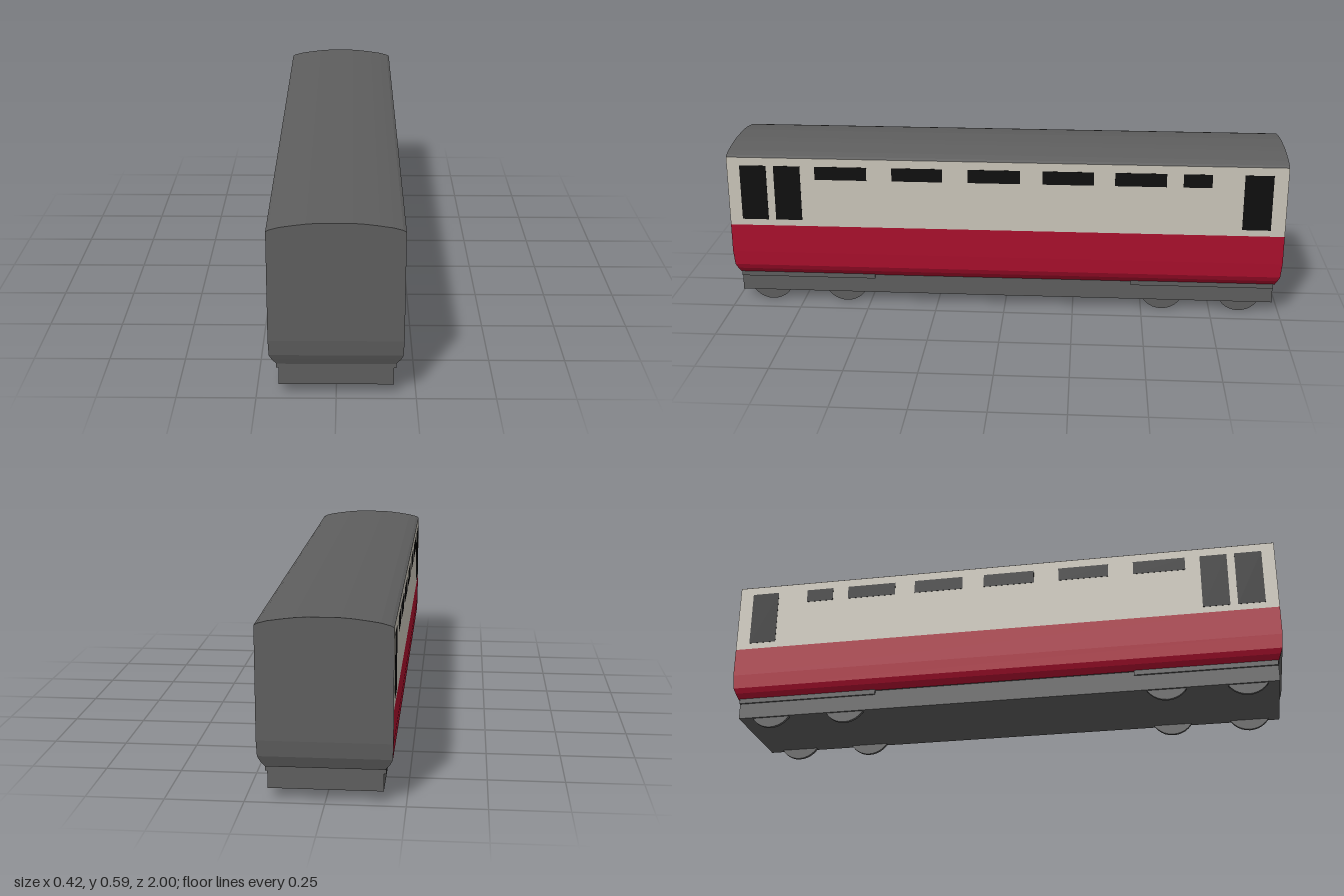
import * as THREE from 'three';

const material = (name, color) => {
  const m = new THREE.MeshStandardMaterial({ color });
  m.name = name;
  return m;
};

export function createModel() {
  const grey = material('dark grey', 0x5e5e5e);
  const cream = material('cream', 0xc9c4b8);
  const red = material('crimson', 0xa90e2c);
  const black = material('window black', 0x0d0d0d);

  const model = new THREE.Group();
  model.name = 'railwayCoach';

  const add = (name, geometry, mat, x = 0, y = 0, z = 0) => {
    const mesh = new THREE.Mesh(geometry, mat);
    mesh.name = name;
    mesh.position.set(x, y, z);
    model.add(mesh);
    return mesh;
  };

  // Box given by its limits
  const box = (name, mat, x0, x1, y0, y1, z0, z1) =>
    add(name, new THREE.BoxGeometry(x1 - x0, y1 - y0, z1 - z0), mat,
      (x0 + x1) / 2, (y0 + y1) / 2, (z0 + z1) / 2);

  // Flat-shaded surface made of four-cornered faces
  const quads = (faces) => {
    const positions = faces.flatMap(([a, b, c, d]) => [a, b, c, a, c, d].flat());
    const geometry = new THREE.BufferGeometry();
    geometry.setAttribute('position', new THREE.Float32BufferAttribute(positions, 3));
    geometry.computeVertexNormals();
    return geometry;
  };

  // Body shell: height, half width and half length of each level
  const levels = [
    [0.11, 0.185, 0.98], [0.13, 0.2, 0.988], [0.148, 0.208, 0.995],
    [0.2, 0.21, 1], [0.305, 0.21, 1], [0.562, 0.21, 1],
  ];
  const lowerSides = [], upperSides = [], ends = [];
  for (let i = 0; i < levels.length - 1; i++) {
    const [y0, x0, z0] = levels[i];
    const [y1, x1, z1] = levels[i + 1];
    const sides = i < 4 ? lowerSides : upperSides;
    for (const s of [1, -1]) {
      sides.push([[s * x0, y0, s * z0], [s * x0, y0, -s * z0], [s * x1, y1, -s * z1], [s * x1, y1, s * z1]]);
      ends.push([[-s * x0, y0, s * z0], [s * x0, y0, s * z0], [s * x1, y1, s * z1], [-s * x1, y1, s * z1]]);
    }
  }
  const [by, bx, bz] = levels[0];
  ends.push([[-bx, by, -bz], [bx, by, -bz], [bx, by, bz], [-bx, by, bz]]);
  add('lowerSidePanels', quads(lowerSides), red);
  add('upperSidePanels', quads(upperSides), cream);
  add('endPanelsAndFloor', quads(ends), grey);

  // Shallow arched roof
  const arc = [[0.21, 0.562], [0.2, 0.568], [0.17, 0.576], [0.13, 0.582], [0.09, 0.587], [0.05, 0.59]];
  const profile = [...arc, ...arc.map(([x, y]) => [-x, y]).reverse()];
  const roofShape = new THREE.Shape(profile.map(([x, y]) => new THREE.Vector2(x, y)));
  add('roof', new THREE.ExtrudeGeometry(roofShape, { depth: 2, bevelEnabled: false }), grey, 0, 0, -1);

  // Underframe
  box('underframe', grey, -0.18, 0.18, 0.038, 0.112, -0.975, 0.978);

  // Windows and doors: rear z, front z, lower edge
  const openings = [
    ['doorWindow', 0.858, 0.954, 0.328], ['doorWindow', 0.735, 0.831, 0.328],
    ['doorWindow', -0.949, -0.848, 0.328],
    ['window', 0.495, 0.682, 0.483], ['window', 0.222, 0.404, 0.483],
    ['window', -0.056, 0.131, 0.483], ['window', -0.318, -0.136, 0.483],
    ['window', -0.575, -0.393, 0.483], ['smallWindow', -0.735, -0.634, 0.483],
  ];
  const wheel = new THREE.CylinderGeometry(0.081, 0.081, 0.012, 32).rotateZ(Math.PI / 2);

  for (const s of [1, -1]) {
    const side = s > 0 ? 'left' : 'right';
    for (const [name, z0, z1, y0] of openings) {
      const x = s * 0.2095;
      box(`${side} ${name}`, black, x - 0.0015, x + 0.0015, y0, 0.532, z0, z1);
    }
    // Footboards beside each pair of wheels
    for (const [z0, z1] of [[0.48, 0.978], [-0.975, -0.46]]) {
      box(`${side} footboard`, grey, s * 0.182 - 0.005, s * 0.182 + 0.005, 0.095, 0.113, z0, z1);
    }
    for (const z of [0.87, 0.59, -0.575, -0.855]) {
      add(`${side} wheel`, wheel, grey, s * 0.167, 0.081, z);
    }
  }
  return model;
}
